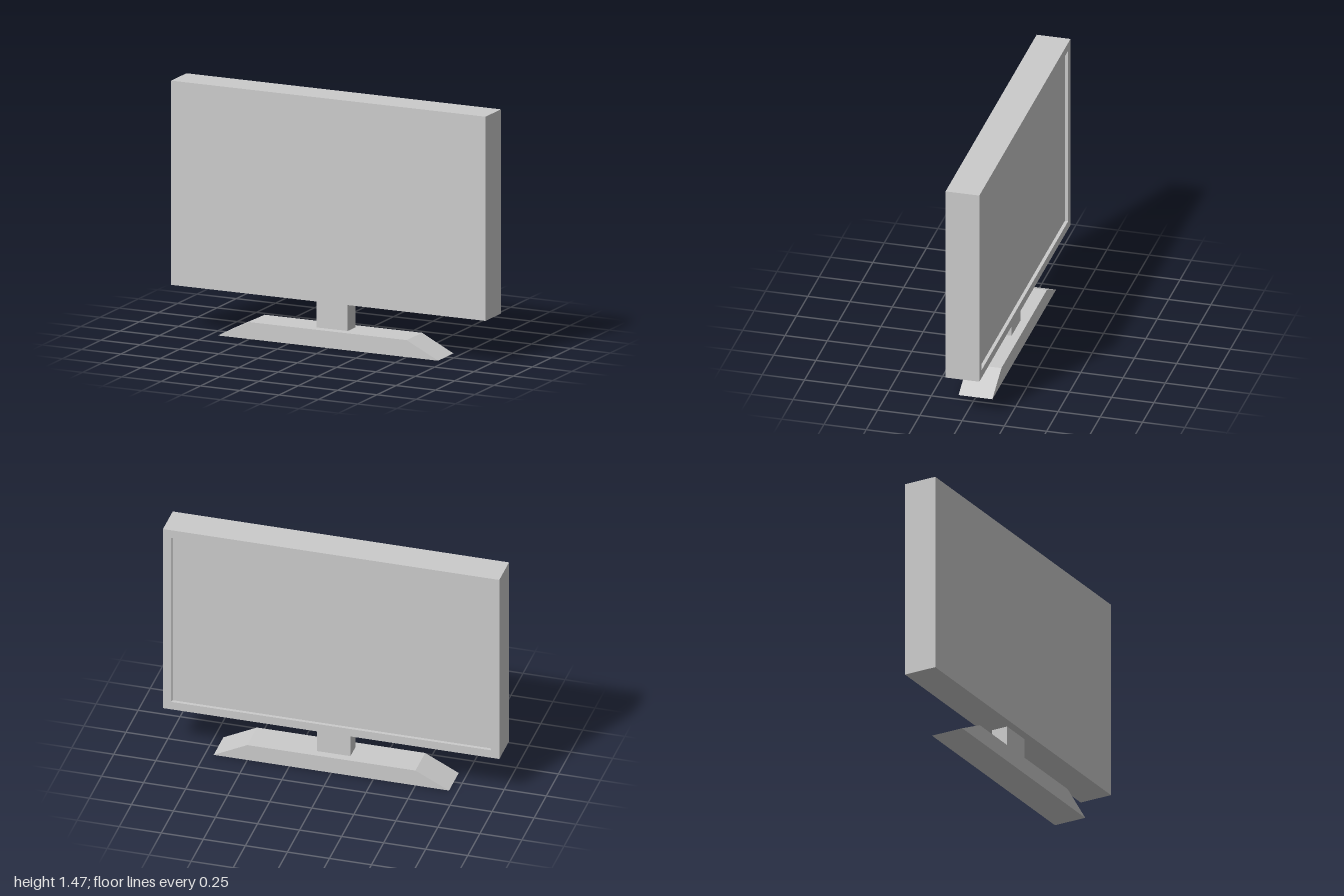
import * as THREE from 'three';

const material = new THREE.MeshStandardMaterial({ color: 0xcccccc, flatShading: true });

function addPart(group, name, geometry, x, y, z) {
  const mesh = new THREE.Mesh(geometry, material);
  mesh.name = name;
  mesh.position.set(x, y, z);
  group.add(mesh);
}

// Closed solid from rectangular rings [halfWidth, halfHeight, z], ordered front to back
function ringSolid(rings) {
  const loops = rings.map(([w, h, z]) => [[-w, -h, z], [w, -h, z], [w, h, z], [-w, h, z]]);
  const positions = [];
  const quad = (a, b, c, d) => positions.push(...a, ...b, ...c, ...a, ...c, ...d);
  for (let r = 0; r < loops.length - 1; r++) {
    const a = loops[r], b = loops[r + 1];
    for (let i = 0; i < 4; i++) {
      const j = (i + 1) % 4;
      quad(a[i], b[i], b[j], a[j]);
    }
  }
  quad(...loops[0]);
  quad(...[...loops[loops.length - 1]].reverse());
  const geometry = new THREE.BufferGeometry();
  geometry.setAttribute('position', new THREE.Float32BufferAttribute(positions, 3));
  geometry.computeVertexNormals();
  return geometry;
}

export function createModel() {
  const group = new THREE.Group();
  group.name = 'flatScreen';

  // Panel: plain at the front, with a shallow recess inside a narrow rim at the back
  const rim = 0.05, recess = 0.02;
  addPart(group, 'panel', ringSolid([
    [1, 0.6, 0.1],
    [1, 0.6, -0.1],
    [1 - rim, 0.6 - rim, -0.1],
    [1 - rim, 0.6 - rim, -0.1 + recess],
  ]), 0, 0.865, -0.002);

  // Neck between base and panel
  addPart(group, 'neck', new THREE.BoxGeometry(0.2, 0.165, 0.1), 0, 0.1825, 0);

  // Base: trapezoid bar with sloping ends
  const profile = new THREE.Shape([[-0.7, 0], [0.7, 0], [0.5, 0.1], [-0.5, 0.1]]
    .map(([x, y]) => new THREE.Vector2(x, y)));
  const base = new THREE.ExtrudeGeometry(profile, { depth: 0.2, bevelEnabled: false });
  addPart(group, 'base', base, 0, 0, -0.098);

  return group;
}
